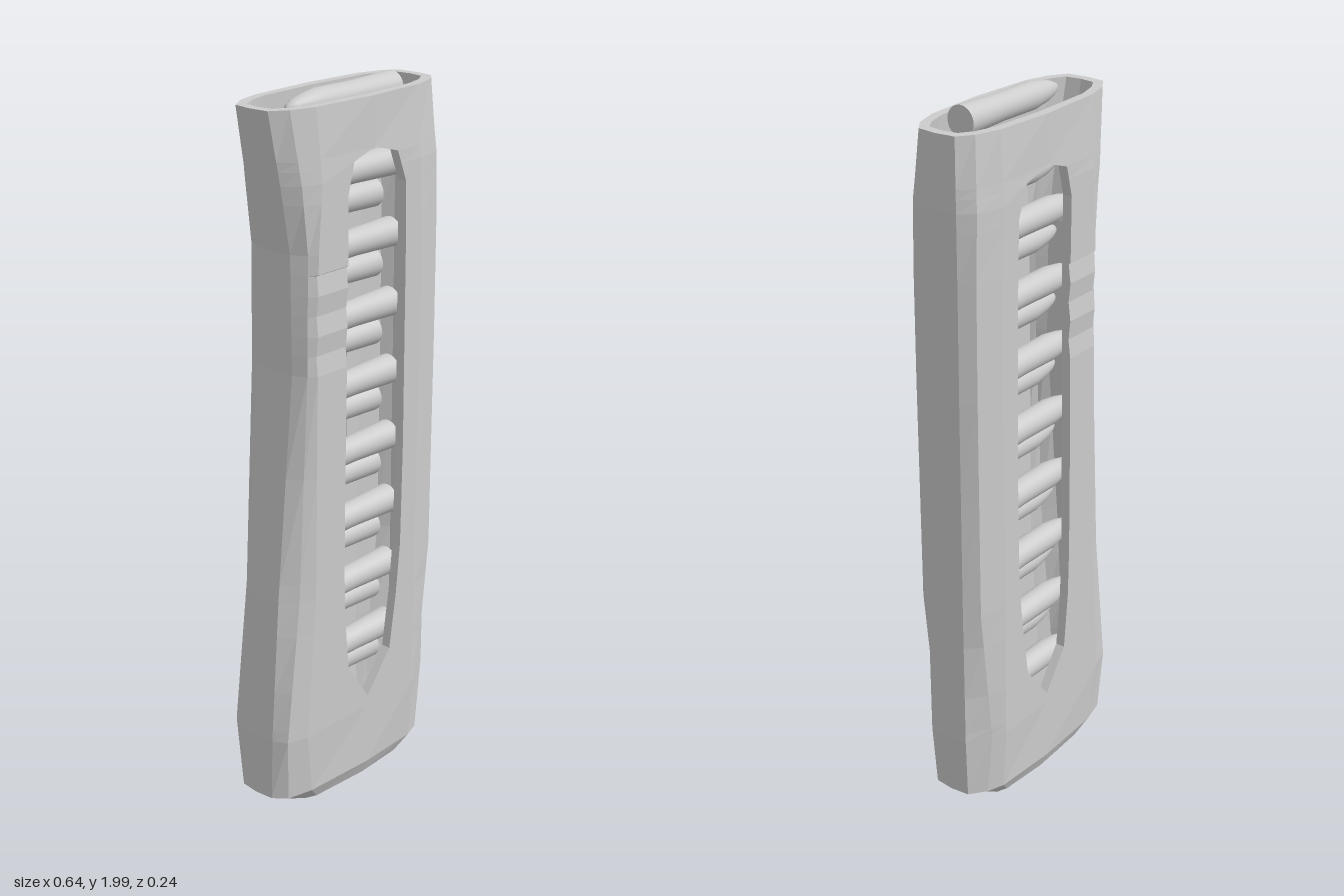
import * as THREE from 'three';

// Shell outline by height: y, left end, left bevel, left face edge,
// right face edge, right bevel, right end, face depth, bevel depth, end depth
const OUTLINE = [
  [0.01, -0.21, -0.2, -0.17, 0.16, 0.19, 0.2, 0.088, 0.075, 0.04],
  [0.055, -0.315, -0.285, -0.21, 0.2, 0.25, 0.295, 0.108, 0.09, 0.055],
  [0.24, -0.315, -0.295, -0.235, 0.2, 0.24, 0.308, 0.118, 0.1, 0.06],
  [0.65, -0.285, -0.245, -0.2, 0.2, 0.285, 0.312, 0.118, 0.1, 0.06],
  [1.28, -0.225, -0.21, -0.19, 0.21, 0.29, 0.314, 0.118, 0.1, 0.06],
  [1.6, -0.228, -0.205, -0.185, 0.21, 0.29, 0.314, 0.118, 0.1, 0.06],
  [1.78, -0.26, -0.225, -0.17, 0.2, 0.285, 0.315, 0.118, 0.1, 0.06],
  [1.97, -0.295, -0.25, -0.18, 0.2, 0.27, 0.31, 0.106, 0.085, 0.055],
];
// Window edges by height: y, left x, right x
const WINDOW = [
  [0.27, 0.01, 0.01], [0.385, -0.07, 0.1], [0.55, -0.085, 0.125],
  [0.7, -0.088, 0.14], [1.0, -0.085, 0.146], [1.55, -0.076, 0.146],
  [1.73, -0.077, 0.143], [1.815, -0.055, 0.11], [1.84, 0.02, 0.02],
];
const RIB_START = 1.28, RIB_STEP = 0.0533, RIBS = 6;
const WALL = 0.026, N = 18;

// Linear lookup in a table keyed by its first column
function sample(table, y) {
  if (y <= table[0][0]) return table[0];
  for (let k = 1; k < table.length; k++) {
    if (y <= table[k][0]) {
      const a = table[k - 1], b = table[k], t = (y - a[0]) / (b[0] - a[0]);
      return a.map((v, i) => v + (b[i] - v) * t);
    }
  }
  return table[table.length - 1];
}

// One ring of the shell: left end, front, right end, back
function ring(y, inner) {
  const [, xl, xa, fa, fb, xc, xr, zf, zb, ze] = sample(OUTLINE, y);
  const [, wl, wr] = sample(WINDOW, y);
  const k = Math.round((y - RIB_START) / RIB_STEP);
  const isRib = !inner && k > 0 && k < RIBS && Math.abs(RIB_START + k * RIB_STEP - y) < 1e-4;
  const dent = isRib && k % 2 ? 0.006 : 0;
  const zw = Math.min(0.118, zf + 0.01);
  const t = inner ? WALL : 0;
  const half = [
    [xl - 0.006 + t, 0], [xl + t, ze], [xa + t * 0.8, zb], [fa + t * 0.4, zf - dent],
    [wl, zw - dent], [wr, zw], [fb - t * 0.4, zf], [xc - t * 0.8, zb],
    [xr - t, ze], [xr + 0.006 - t, 0],
  ].map(([x, z]) => [x, inner ? z * 0.77 : z]);
  const back = half.slice(1, -1).reverse().map(([x, z]) => [x, -z]);
  return [...half, ...back].map(([x, z]) => new THREE.Vector3(x, y, z));
}

// Collects flat triangles, skipping degenerate ones
function faceBuilder() {
  const pos = [];
  const tri = (a, b, c) => {
    const area = b.clone().sub(a).cross(c.clone().sub(a)).length();
    if (area > 1e-8) for (const p of [a, b, c]) pos.push(p.x, p.y, p.z);
  };
  return {
    tri,
    quad(a, b, c, d) { tri(a, b, c); tri(a, c, d); },
    build() {
      const g = new THREE.BufferGeometry();
      g.setAttribute('position', new THREE.Float32BufferAttribute(pos, 3));
      g.computeVertexNormals();
      return g;
    },
  };
}

// Hollow shell with a window through front and back
function shellGeometry() {
  const ys = [...OUTLINE, ...WINDOW].map((r) => r[0]);
  for (let k = 1; k < RIBS; k++) ys.push(RIB_START + k * RIB_STEP);
  const rows = [...new Set(ys)].sort((a, b) => a - b);
  const outer = rows.map((y) => ring(y, false));
  const inner = rows.map((y) => ring(y, true));
  const f = faceBuilder();
  const last = rows.length - 1;
  for (let j = 0; j < last; j++) {
    const mid = (rows[j] + rows[j + 1]) / 2;
    const open = mid > WINDOW[0][0] && mid < WINDOW[WINDOW.length - 1][0];
    const [o, p, a, b] = [outer[j], outer[j + 1], inner[j], inner[j + 1]];
    for (let i = 0; i < N; i++) {
      const n = (i + 1) % N;
      if (open && (i === 4 || i === 13)) {
        // window side walls
        f.quad(o[i], a[i], b[i], p[i]);
        f.quad(a[n], o[n], p[n], b[n]);
        continue;
      }
      f.quad(o[i], o[n], p[n], p[i]);
      if (j > 0) f.quad(a[n], a[i], b[i], b[n]);
    }
  }
  // top rim, underside and inner floor
  for (let i = 0; i < N; i++) {
    const n = (i + 1) % N;
    f.quad(outer[last][i], outer[last][n], inner[last][n], inner[last][i]);
    if (i > 0 && n > 0) {
      f.tri(outer[0][0], outer[0][n], outer[0][i]);
      f.tri(inner[1][0], inner[1][i], inner[1][n]);
    }
  }
  return f.build();
}

// Tapered round lying along x, tip towards -x
function roundGeometry() {
  const profile = [
    [0, -0.212], [0.012, -0.205], [0.021, -0.185], [0.03, -0.15], [0.037, -0.1],
    [0.036, 0.03], [0.041, 0.178],
  ].map(([r, h]) => new THREE.Vector2(r, h));
  const g = new THREE.LatheGeometry(profile, 24);
  g.rotateZ(-Math.PI / 2);
  return g;
}

export function createModel() {
  const grey = new THREE.MeshStandardMaterial({ color: 0xcccccc });
  grey.name = 'light grey';
  const model = new THREE.Group();
  model.name = 'magazine';

  const shell = new THREE.Mesh(shellGeometry(), grey);
  shell.name = 'shell';
  model.add(shell);

  // two staggered columns of rounds
  const rounds = new THREE.Group();
  rounds.name = 'rounds';
  const body = roundGeometry();
  const base = new THREE.CircleGeometry(0.041, 24).rotateY(Math.PI / 2).translate(0.178, 0, 0);
  for (let i = 0; i < 18; i++) {
    const round = new THREE.Group();
    round.name = 'round' + (i + 1);
    const bodyMesh = new THREE.Mesh(body, grey);
    bodyMesh.name = 'roundBody';
    const baseMesh = new THREE.Mesh(base, grey);
    baseMesh.name = 'roundBase';
    round.add(bodyMesh, baseMesh);
    round.position.set(0, 1.959 - i * 0.0965, i % 2 ? -0.03 : 0.034);
    rounds.add(round);
  }
  model.add(rounds);
  return model;
}
